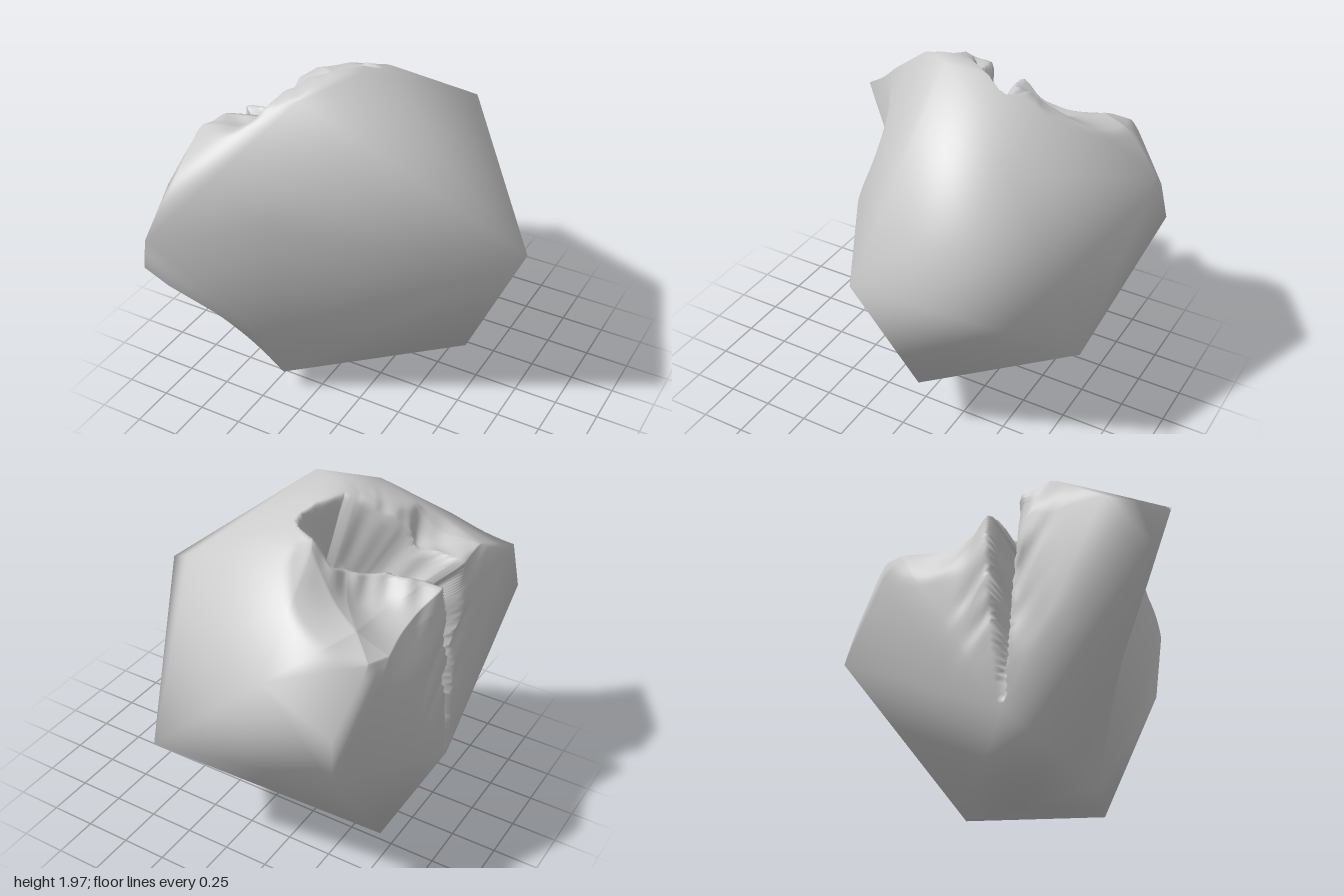
import * as THREE from 'three';
import { ConvexGeometry } from 'three/addons/geometries/ConvexGeometry.js';
import { mergeVertices } from 'three/addons/utils/BufferGeometryUtils.js';

const V = (x, y, z) => new THREE.Vector3(x, y, z);
const smooth = (t) => THREE.MathUtils.smoothstep(t, 0, 1);

// Corners of the boulder
const corners = [
  V(-0.07, 1.97, 0.05), V(-0.3, 1.87, 0.31), V(-0.3, 1.92, 0.05), V(-0.45, 1.83, 0.1), // crown
  V(-0.31, 1.82, -0.38), V(0.29, 1.66, -0.55),
  V(-0.79, 1.29, 1), V(-0.86, 1.07, 0.95), V(-0.86, 1.63, 0.37), V(-0.87, 1.42, 0.68), // front beak
  V(0.87, 1.17, 0.05), V(0.49, 0.33, -0.1), V(0.29, 0.73, -0.94), // right side
  V(-0.66, 0, -0.21), V(-0.42, 0.13, 0.39), V(-0.87, 0.44, 0.12), // foot
  V(-0.42, 1.43, -1), V(-0.78, 0.96, -0.96), V(-0.75, 1.18, -0.92), // back
  V(-0.81, 1.5, -0.7), V(-0.87, 1.5, -0.58), V(-0.72, 1.62, -0.62),
];

// Cleft running from the crown over the left-hand edge to the foot: point, half width, depth
const cleft = [
  [V(-0.15, 1.88, -0.26), 0.05, 0.05],
  [V(-0.34, 1.84, -0.17), 0.21, 0.36],
  [V(-0.58, 1.72, 0.02), 0.14, 0.38],
  [V(-0.83, 1.55, 0.1), 0.11, 0.34],
  [V(-0.87, 1.1, 0.09), 0.06, 0.2],
  [V(-0.87, 0.5, 0.12), 0.02, 0.03],
];
// Worn hollows beside it: centre, radius, depth
const hollows = [
  [V(-0.65, 1.65, -0.33), 0.5, 0.22],
  [V(-0.68, 1.72, 0.25), 0.24, 0.11],
];
const core = V(0.05, 0.75, 0);

const lump = (p) =>
  Math.sin(p.x * 17 + p.y * 9) * Math.sin(p.z * 19 - p.y * 7) +
  0.5 * Math.sin(p.x * 31 - p.z * 27 + p.y * 23);

// How far a surface point sinks: cleft, hollows, and lumps around both
function sinkDepth(p) {
  const line = new THREE.Line3();
  const near = V(0, 0, 0);
  let best = Infinity, width = 0, depth = 0;
  for (let i = 0; i + 1 < cleft.length; i++) {
    const [a, wa, da] = cleft[i];
    const [b, wb, db] = cleft[i + 1];
    line.set(a, b);
    const t = line.closestPointToPointParameter(p, true);
    const d = line.at(t, near).distanceTo(p);
    if (d < best) {
      best = d;
      width = wa + (wb - wa) * t;
      depth = da + (db - da) * t;
    }
  }
  const n = lump(p);
  let sink = depth * smooth(1.5 * (1 - (best + 0.01 * n) / width));
  for (const [c, r, d] of hollows) sink += d * smooth(1 - p.distanceTo(c) / r);
  // Lumps stay on the left-hand side of the crown
  const rough = smooth(1 - best / 0.45) * smooth((p.y - 0.6) / 0.5) * smooth((-0.1 - p.x) / 0.3);
  return sink + 0.022 * (1 + n) * rough;
}

// Hollow the front face behind the beak
function dentFront(p) {
  const tent = p.x > -0.34 ? (0.87 - p.x) / 1.21 : (p.x + 0.79) / 0.45;
  const fade = THREE.MathUtils.clamp((p.z - 0.4) / 0.3, 0, 1) * (1 - smooth((p.y - 1.25) / 0.35));
  p.z -= 0.15 * Math.max(0, tent) * fade;
}

function boulderGeometry(steps) {
  const raw = new ConvexGeometry(corners);
  raw.deleteAttribute('normal');
  const hull = mergeVertices(raw);
  hull.computeVertexNormals();
  const { position, normal } = hull.attributes;
  const points = [], shell = [], sunk = [];

  // Divide each hull face into a fine triangle grid
  for (let f = 0; f < hull.index.count; f += 3) {
    const ids = [0, 1, 2].map((k) => hull.index.getX(f + k));
    const P = ids.map((i) => V(0, 0, 0).fromBufferAttribute(position, i));
    const N = ids.map((i) => V(0, 0, 0).fromBufferAttribute(normal, i));
    const mix = (q, u, v) => V(0, 0, 0)
      .addScaledVector(q[0], 1 - u - v).addScaledVector(q[1], u).addScaledVector(q[2], v);
    const add = (i, j) => {
      const p = mix(P, i / steps, j / steps);
      const n = mix(N, i / steps, j / steps).normalize();
      const s = sinkDepth(p);
      p.addScaledVector(core.clone().sub(p).normalize(), s);
      dentFront(p);
      points.push(p.x, p.y, p.z);
      shell.push(n.x, n.y, n.z);
      sunk.push(s);
    };
    for (let i = 0; i < steps; i++) {
      for (let j = 0; j < steps - i; j++) {
        add(i, j); add(i + 1, j); add(i, j + 1);
        if (i + j < steps - 1) { add(i + 1, j); add(i + 1, j + 1); add(i, j + 1); }
      }
    }
  }
  let geo = new THREE.BufferGeometry();
  geo.setAttribute('position', new THREE.Float32BufferAttribute(points, 3));
  geo.setAttribute('shell', new THREE.Float32BufferAttribute(shell, 3));
  geo.setAttribute('sunk', new THREE.Float32BufferAttribute(sunk, 1));
  geo = mergeVertices(geo, 1e-4);
  geo.computeVertexNormals();

  // Untouched shell keeps the soft shading of the large faces
  const a = geo.attributes;
  for (let i = 0; i < a.position.count; i++) {
    const n = V(0, 0, 0).fromBufferAttribute(a.normal, i);
    const s = V(0, 0, 0).fromBufferAttribute(a.shell, i);
    s.lerp(n, Math.min(1, a.sunk.getX(i) / 0.02)).normalize();
    a.normal.setXYZ(i, s.x, s.y, s.z);
  }
  geo.deleteAttribute('shell');
  geo.deleteAttribute('sunk');
  return geo;
}

export function createModel() {
  const group = new THREE.Group();
  group.name = 'splitBoulder';
  const material = new THREE.MeshStandardMaterial({ color: 0xcccccc, side: THREE.DoubleSide });
  const boulder = new THREE.Mesh(boulderGeometry(44), material);
  boulder.name = 'boulder';
  group.add(boulder);
  return group;
}
